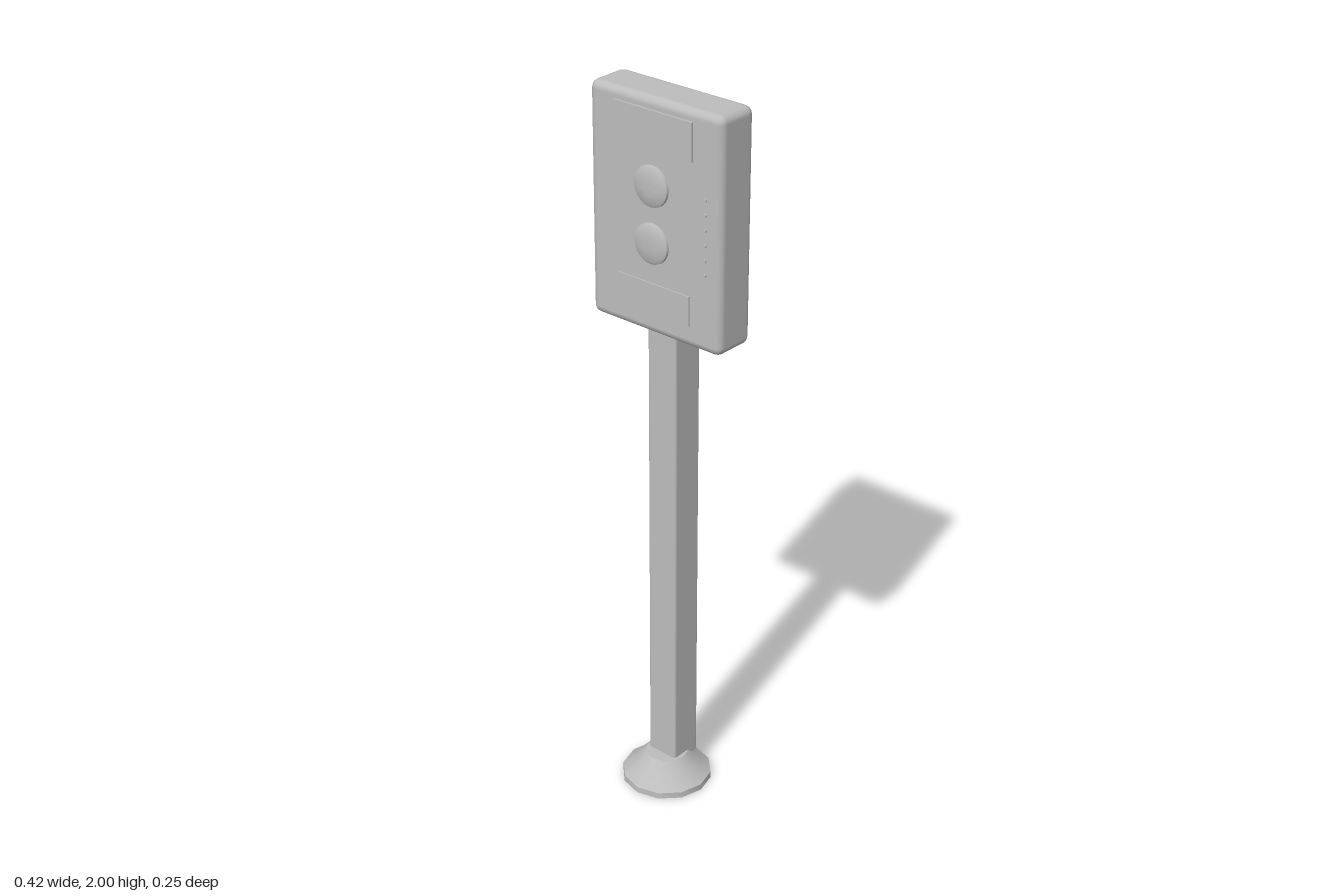
import * as THREE from 'three';
import { toCreasedNormals } from 'three/addons/utils/BufferGeometryUtils.js';
import { RoundedBoxGeometry } from 'three/addons/geometries/RoundedBoxGeometry.js';

export function createModel() {
  const group = new THREE.Group();
  const metal = new THREE.MeshStandardMaterial({ color: 0xbcbcbc });
  metal.name = 'grey metal';

  function add(name, geometry, x, y, z) {
    const mesh = new THREE.Mesh(geometry, metal);
    mesh.name = name;
    mesh.position.set(x, y, z);
    group.add(mesh);
    return mesh;
  }
  // Turned solid from [radius, height] pairs, bottom to top
  function turned(profile, sides, crease) {
    const points = profile.map(([r, h]) => new THREE.Vector2(r, h));
    return toCreasedNormals(new THREE.LatheGeometry(points, sides), crease);
  }

  // Twelve-sided flared foot
  add('base', turned([[0, 0], [0.125, 0], [0.124, 0.017], [0.098, 0.037],
    [0.078, 0.058], [0.059, 0.08], [0, 0.08]], 12, 0.75), 0, 0, 0);

  // Square post, set back and running up into the rear of the housing
  add('post', new RoundedBoxGeometry(0.094, 1.49, 0.096, 2, 0.008), 0, 0.805, -0.027);

  // Housing with rounded edges
  add('housing', new RoundedBoxGeometry(0.42, 0.62, 0.124, 2, 0.022), 0, 1.69, -0.014);

  // Thin label plates
  add('upperPlate', new THREE.BoxGeometry(0.246, 0.1, 0.008), 0, 1.92, 0.05);
  add('lowerPlate', new THREE.BoxGeometry(0.23, 0.08, 0.006), 0, 1.48, 0.049);

  // Domed push buttons on a narrow collar
  const button = turned([[0.046, 0], [0.046, 0.008], [0.054, 0.009], [0.053, 0.015],
    [0.046, 0.019], [0.022, 0.022], [0, 0.023]], 20, 0.7);
  for (const y of [1.78, 1.63]) {
    add('button', button, 0, y, 0.046).rotation.x = Math.PI / 2;
  }

  // Column of small indicator studs
  const stud = new THREE.CylinderGeometry(0.005, 0.005, 0.01, 8);
  for (let i = 0; i < 6; i++) {
    add('indicatorStud', stud, 0.163, 1.785 - i * 0.039, 0.048).rotation.x = Math.PI / 2;
  }
  return group;
}
